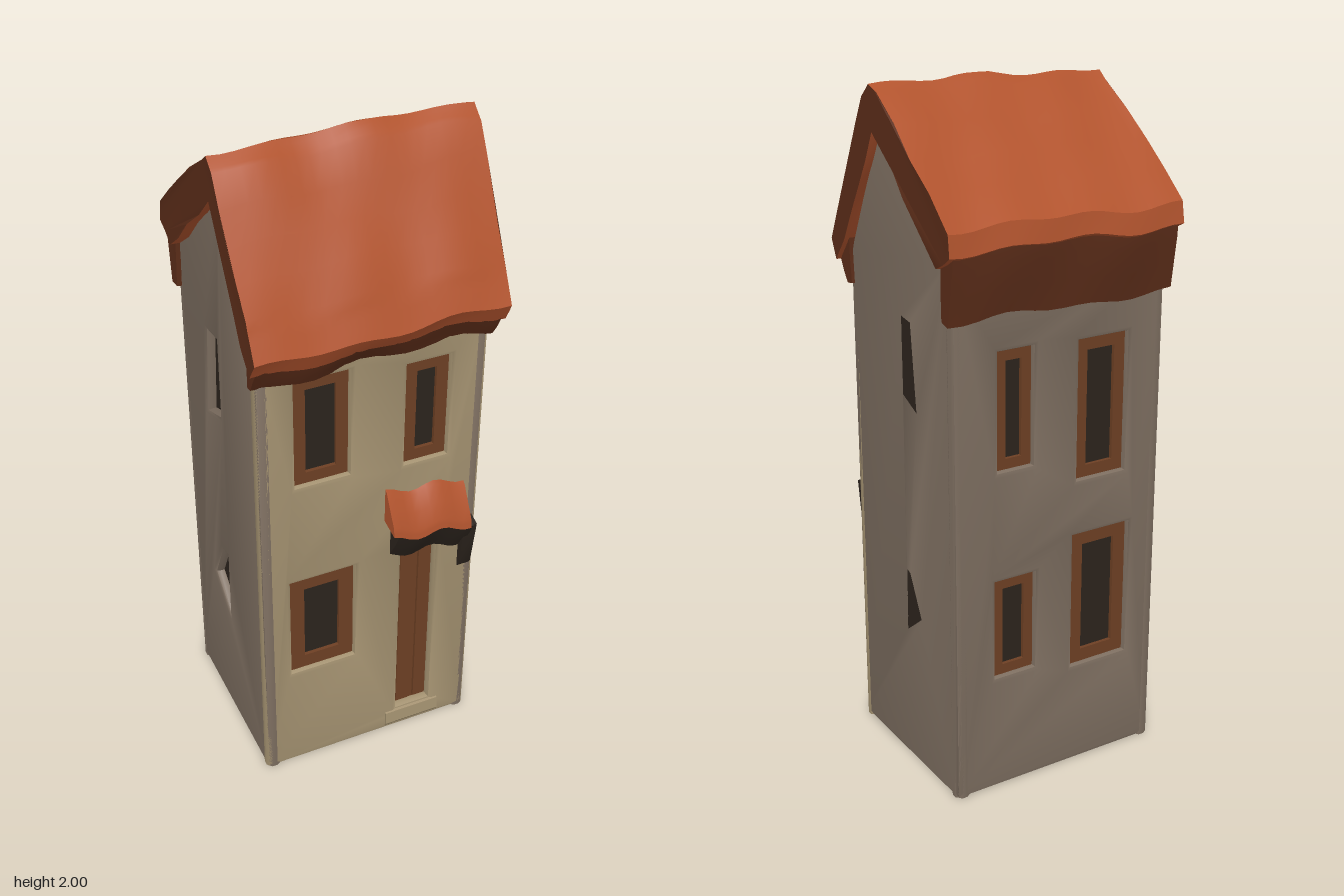
import * as THREE from 'three';
import { toCreasedNormals } from 'three/addons/utils/BufferGeometryUtils.js';

const mat = (color) => new THREE.MeshStandardMaterial({ color });
const plaster = mat(0xa39170), stone = mat(0x7d6e60), tile = mat(0xb2542e), tileEdge = mat(0x5c2d19);
const wood = mat(0x6e4024), dark = mat(0x2c241d);

const shapeOf = (pts) => new THREE.Shape(pts.map(([x, y]) => new THREE.Vector2(x, y)));
const rect = (x0, y0, x1, y1) => [[x0, y0], [x1, y0], [x1, y1], [x0, y1]];

function add(parent, name, geometry, material) {
  const mesh = new THREE.Mesh(geometry, material);
  mesh.name = name;
  parent.add(mesh);
  return mesh;
}

// Wall panel facing local +z at distance d, with bevelled window openings
function wall(parent, name, turn, d, outline, openings, material) {
  const group = new THREE.Group();
  group.name = name;
  group.rotation.y = turn;
  const b = 0.014, depth = 0.045;
  const shape = shapeOf(outline);
  for (const o of openings) shape.holes.push(shapeOf(o.pts));
  const panel = new THREE.ExtrudeGeometry(shape, {
    depth: depth - 2 * b, bevelThickness: b, bevelSize: b, bevelOffset: -b, bevelSegments: 2,
  });
  panel.translate(0, 0, d - depth + b);
  add(group, name + 'Panel', toCreasedNormals(panel, 0.7), material);

  for (const o of openings) {
    const xs = o.pts.map((p) => p[0]), ys = o.pts.map((p) => p[1]);
    const x0 = Math.min(...xs), x1 = Math.max(...xs), y0 = Math.min(...ys), y1 = Math.max(...ys);
    const pane = new THREE.BoxGeometry(x1 - x0 + 0.02, y1 - y0 + 0.02, 0.01);
    pane.translate((x0 + x1) / 2, (y0 + y1) / 2, d - 0.032);
    add(group, o.door ? 'door' : 'windowPane', pane, o.door ? wood : dark);
    if (!o.frame) continue;
    // Timber surround
    const f = o.frame, ring = shapeOf(rect(x0 - 0.01, y0 - 0.01, x1 + 0.01, y1 + 0.01));
    ring.holes.push(shapeOf(rect(x0 + f, y0 + f, x1 - f, y1 - f)));
    const frame = new THREE.ExtrudeGeometry(ring, { depth: 0.02, bevelEnabled: false });
    frame.translate(0, 0, d - 0.036);
    add(group, 'windowFrame', frame, wood);
  }
  parent.add(group);
}

// Extrudes a [z, y] profile along x, subdivided and gently warped by a rule
function alongX(pts, x0, x1, warp, parts = 1, steps = 1) {
  const fine = pts.flatMap(([z, y], i) => {
    const [z2, y2] = pts[(i + 1) % pts.length];
    return Array.from({ length: parts }, (_, k) => [-(z + (z2 - z) * k / parts), y + (y2 - y) * k / parts]);
  });
  const g = new THREE.ExtrudeGeometry(shapeOf(fine), { depth: x1 - x0, steps, bevelEnabled: false });
  g.translate(0, 0, x0);
  g.rotateY(Math.PI / 2);
  if (warp) {
    const p = g.attributes.position, v = new THREE.Vector3();
    for (let i = 0; i < p.count; i++) {
      v.fromBufferAttribute(p, i);
      warp(v);
      p.setXYZ(i, v.x, v.y, v.z);
    }
  }
  return toCreasedNormals(g, 0.6);
}

// Hand-made unevenness of the tiles
const roofWarp = (v) => {
  const { x, y, z } = v;
  v.x *= 0.965 - z * 0.045 + 0.01 * Math.sin(17 * z + 6 * y);
  v.y += 0.006 * Math.sin(23 * x + 9 * z) + 0.006 * Math.sin(31 * z - 11 * x) + 0.016 * x - 0.004;
  v.y = Math.min(v.y, 2);
  v.z += 0.006 * Math.sin(19 * x + 13 * y) * (Math.abs(z) < 0.3 ? 1 : 0.4);
};

export function createModel() {
  const house = new THREE.Group();
  house.name = 'house';

  // Solid core closing the underside
  const gable = [[0.24, 0], [0.24, 1.5], [0.07, 1.88], [-0.27, 1.56], [-0.27, 0]];
  add(house, 'core', alongX(gable, -0.308, 0.308), dark);

  // Front wall with three windows and the door
  const front = [
    { pts: rect(-0.23, 1.06, -0.07, 1.40), frame: 0.035 },
    { pts: rect(0.10, 1.04, 0.23, 1.37), frame: 0.035 },
    { pts: rect(-0.25, 0.37, -0.05, 0.72), frame: 0.045 },
    { pts: rect(0.10, 0.08, 0.21, 0.74), door: true },
  ];
  wall(house, 'frontWall', 0, 0.275, rect(-0.34, 0, 0.34, 1.5), front, plaster);

  // Back wall with four windows
  const back = [
    { pts: rect(-0.20, 0.99, -0.09, 1.33), frame: 0.03 },
    { pts: rect(0.06, 0.91, 0.22, 1.32), frame: 0.035 },
    { pts: rect(-0.21, 0.36, -0.08, 0.66), frame: 0.03 },
    { pts: rect(0.05, 0.32, 0.24, 0.74), frame: 0.04 },
  ];
  wall(house, 'backWall', Math.PI, 0.30, rect(-0.34, 0, 0.34, 1.54), back, stone);

  // Gabled side walls, each with two crooked windows
  const sideOutline = [[0.275, 0], [0.275, 1.5], [0.07, 1.91], [-0.30, 1.6], [-0.30, 0]];
  const sideOpenings = [
    [[-0.01, 1.40], [-0.085, 1.39], [-0.11, 1.11], [-0.01, 1.15]],
    [[-0.01, 0.64], [-0.05, 0.63], [-0.12, 0.49], [-0.01, 0.41]],
  ];
  for (const s of [1, -1]) {
    const flip = (pts) => pts.map(([z, y]) => [-s * z, y]);
    wall(house, s > 0 ? 'leftWall' : 'rightWall', s * Math.PI / 2, 0.34, flip(sideOutline),
      sideOpenings.map((pts) => ({ pts: flip(pts) })), stone);
  }

  // Uneven tiled roof with the ridge set forward
  const roof = [
    [0.34, 1.53], [0.29, 1.64], [0.11, 1.96], [0.07, 1.995], [0.03, 1.97], [-0.33, 1.68],
    [-0.34, 1.62], [-0.27, 1.57], [0.07, 1.87], [0.25, 1.55], [0.31, 1.48],
  ];
  add(house, 'roof', alongX(roof, -0.38, 0.38, roofWarp, 4, 20), [tileEdge, tile]);

  // Dark wedges under the eaves
  const eaves = {
    frontEave: [[0.335, 1.53], [0.25, 1.58], [0.25, 1.42], [0.275, 1.42], [0.31, 1.48]],
    backEave: [[-0.335, 1.64], [-0.33, 1.58], [-0.305, 1.43], [-0.27, 1.43], [-0.27, 1.6]],
  };
  for (const [name, pts] of Object.entries(eaves)) {
    add(house, name, alongX(pts, -0.365, 0.365, roofWarp, 2, 16), tileEdge);
  }

  // Tiled canopy over the door, with its timber underside and a bracket
  const sag = (v) => { v.y += 0.012 * Math.sin(40 * v.x) - 0.1 * (v.x - 0.17); };
  const canopy = [[0.25, 0.97], [0.285, 0.94], [0.335, 0.85], [0.34, 0.82], [0.25, 0.84]];
  const under = [[0.25, 0.85], [0.335, 0.82], [0.31, 0.77], [0.275, 0.71], [0.25, 0.71]];
  add(house, 'canopy', alongX(canopy, 0.04, 0.29, sag, 2, 10), tile);
  add(house, 'canopyUnderside', alongX(under, 0.06, 0.30, sag, 2, 10), dark);
  const bracket = [[0.25, 0.8], [0.31, 0.78], [0.285, 0.62], [0.25, 0.57]];
  add(house, 'canopyBracket', alongX(bracket, 0.285, 0.325), dark);

  // Door planks and doorstep
  for (const x of [0.125, 0.185]) {
    const plank = new THREE.BoxGeometry(0.04, 0.62, 0.012);
    plank.translate(x, 0.4, 0.252);
    add(house, 'doorPlank', plank, wood);
  }
  const step = [[0.25, 0], [0.265, 0], [0.285, 0.03], [0.28, 0.07], [0.25, 0.08]];
  add(house, 'doorstep', alongX(step, 0.06, 0.24), plaster);

  return house;
}
